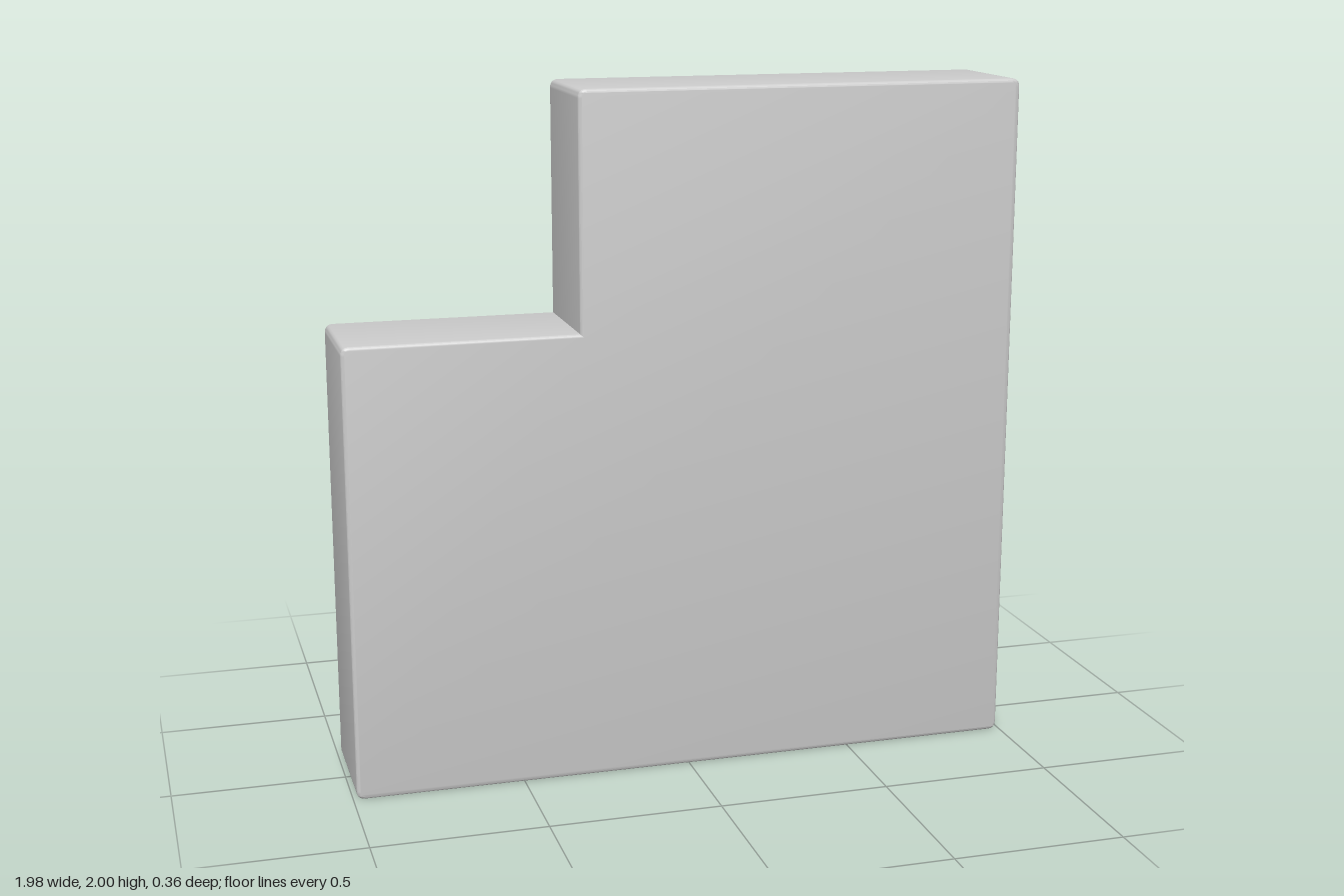
import * as THREE from 'three';
import { toCreasedNormals } from 'three/addons/utils/BufferGeometryUtils.js';

const HALF_WIDTH = 0.99, HEIGHT = 2, HALF_DEPTH = 0.178;
const NOTCH_X = -0.32, NOTCH_Y = 1.32;
const CORNER = 0.025, BEVEL = 0.01;

// Outline of the slab, counter-clockwise, each corner with its rounding radius
function notchedOutline() {
  const corners = [
    [-HALF_WIDTH, 0, CORNER],
    [HALF_WIDTH, 0, CORNER],
    [HALF_WIDTH, HEIGHT, CORNER],
    [NOTCH_X, HEIGHT, CORNER],
    [NOTCH_X, NOTCH_Y, 0], // sharp inner corner
    [-HALF_WIDTH, NOTCH_Y, CORNER],
  ];
  const shape = new THREE.Shape();
  corners.forEach(([x, y, r], i) => {
    const p = new THREE.Vector2(x, y);
    const towards = (j) => {
      const c = corners[(j + corners.length) % corners.length];
      return new THREE.Vector2(c[0], c[1]).sub(p).setLength(r).add(p);
    };
    const start = r ? towards(i - 1) : p;
    if (i === 0) shape.moveTo(start.x, start.y);
    else shape.lineTo(start.x, start.y);
    if (r) {
      const end = towards(i + 1);
      shape.quadraticCurveTo(x, y, end.x, end.y);
    }
  });
  shape.closePath();
  return shape;
}

export function createModel() {
  const group = new THREE.Group();
  group.name = 'notchedBlock';

  // Slab with a softened rim on both faces
  const depth = 2 * (HALF_DEPTH - BEVEL);
  const geometry = new THREE.ExtrudeGeometry(notchedOutline(), {
    depth,
    curveSegments: 6,
    bevelEnabled: true,
    bevelThickness: BEVEL,
    bevelSize: BEVEL,
    bevelOffset: -BEVEL,
    bevelSegments: 4,
  });
  geometry.translate(0, 0, -depth / 2);

  const slab = new THREE.Mesh(
    toCreasedNormals(geometry, 0.6),
    new THREE.MeshStandardMaterial({ color: 0xcccccc })
  );
  slab.name = 'slab';
  group.add(slab);
  return group;
}
